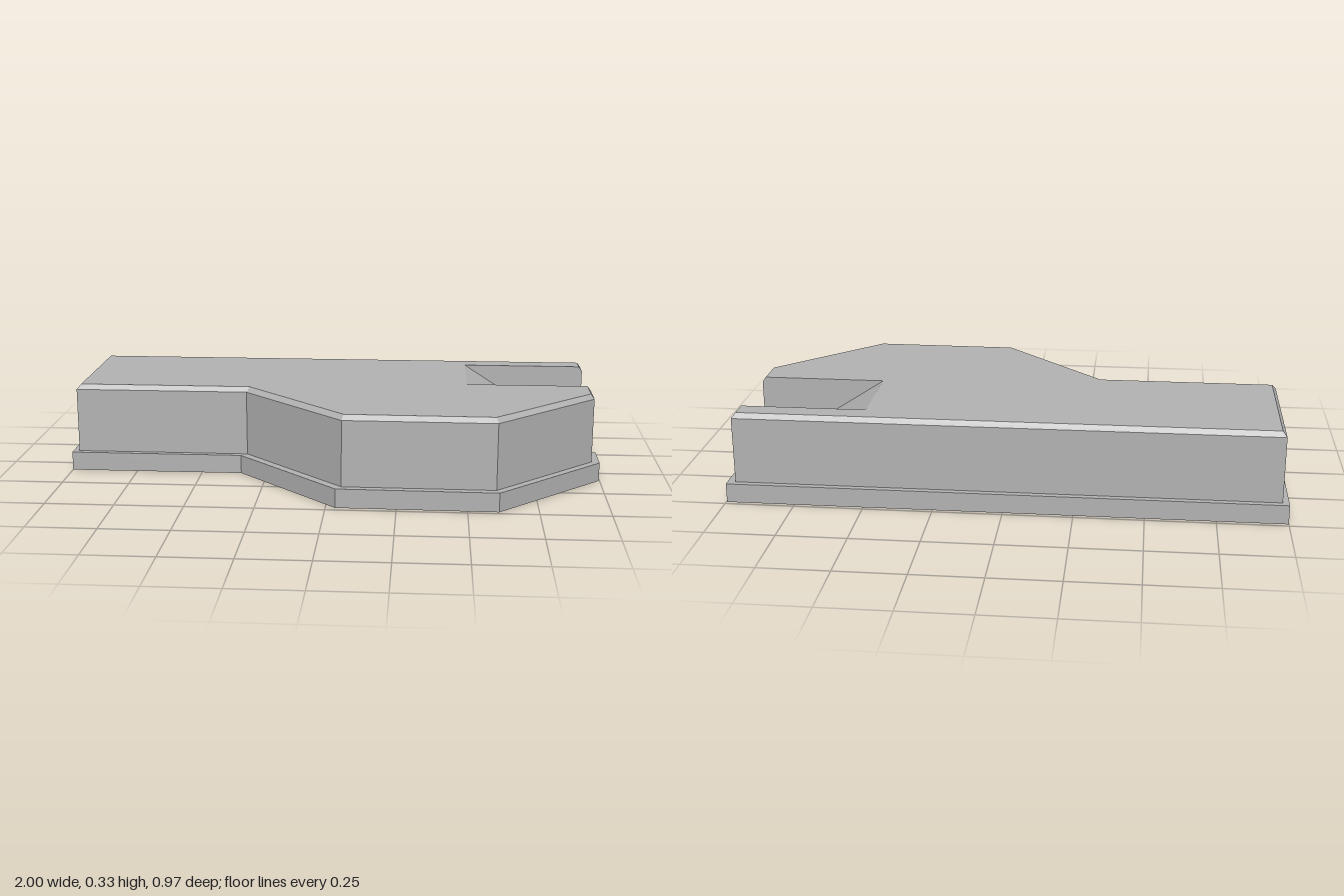
import * as THREE from 'three';

// Ramp slot cut into the right end
const SLOT = { x: 0.5, back: -0.373, front: -0.043 };

// Plan outline [x, z] with the slot's four corners included
function outline(left, right, back, chamferZ, nose, elbow) {
  return [
    [left, back], [right, back],
    [right, SLOT.back], [SLOT.x, SLOT.back], [SLOT.x, SLOT.front], [right, SLOT.front],
    [right, chamferZ], ...nose, elbow, [left, elbow[1]],
  ];
}

// Flat-faced skin through stacked rings of { y, pts }, with optional caps
function loft(rings, capBottom, capTop) {
  const pos = [];
  const tri = (a, b, c) => {
    const ab = b.clone().sub(a), ac = c.clone().sub(a);
    if (ab.cross(ac).length() < 1e-8) return;
    for (const v of [a, b, c]) pos.push(v.x, v.y, v.z);
  };
  const at = (ring, i) => {
    const p = ring.pts[i % ring.pts.length];
    return new THREE.Vector3(p[0], ring.y, p[1]);
  };
  for (let r = 0; r < rings.length - 1; r++) {
    const lo = rings[r], hi = rings[r + 1];
    for (let i = 0; i < lo.pts.length; i++) {
      tri(at(lo, i), at(hi, i), at(hi, i + 1));
      tri(at(lo, i), at(hi, i + 1), at(lo, i + 1));
    }
  }
  const cap = (ring, up) => {
    const flat = ring.pts.map((p) => new THREE.Vector2(p[0], p[1]));
    for (const [i, j, k] of THREE.ShapeUtils.triangulateShape(flat, [])) {
      const area = THREE.ShapeUtils.area([flat[i], flat[j], flat[k]]);
      const facesUp = area < 0;
      if (facesUp === up) tri(at(ring, i), at(ring, j), at(ring, k));
      else tri(at(ring, i), at(ring, k), at(ring, j));
    }
  };
  if (capBottom) cap(rings[0], false);
  if (capTop) cap(rings[rings.length - 1], true);
  const geo = new THREE.BufferGeometry();
  geo.setAttribute('position', new THREE.Float32BufferAttribute(pos, 3));
  geo.computeVertexNormals();
  return geo;
}

export function createModel() {
  const group = new THREE.Group();
  group.name = 'rampedPlatform';
  const grey = new THREE.MeshStandardMaterial({ color: 0xb2b2b2 });
  grey.name = 'concreteGrey';
  const add = (name, geo) => {
    const mesh = new THREE.Mesh(geo, grey);
    mesh.name = name;
    group.add(mesh);
    return mesh;
  };

  const foot = outline(-1, 0.997, -0.485, 0.095, [[0.61, 0.485], [0.035, 0.477]], [-0.35, 0.09]);
  const wall = outline(-0.977, 0.968, -0.462, 0.084, [[0.6, 0.455], [0.055, 0.451]], [-0.328, 0.068]);
  const deck = outline(-0.962, 0.955, -0.447, 0.077, [[0.593, 0.438], [0.062, 0.434]], [-0.318, 0.053]);

  // Plinth with its narrow ledge
  add('plinth', loft([{ y: 0, pts: foot }, { y: 0.07, pts: foot }, { y: 0.07, pts: wall }], true, false));

  // Walls, bevelled rim and flat deck
  add('body', loft([{ y: 0.07, pts: wall }, { y: 0.312, pts: wall }, { y: 0.33, pts: deck }], false, true));

  // Ramp from the deck down to the ground inside the slot
  const side = new THREE.Shape([[SLOT.x, 0], [1, 0], [1, 0.006], [SLOT.x, 0.33]]
    .map(([x, y]) => new THREE.Vector2(x, y)));
  const ramp = new THREE.ExtrudeGeometry(side, { depth: SLOT.front - SLOT.back, bevelEnabled: false });
  add('ramp', ramp).position.z = SLOT.back;

  return group;
}
